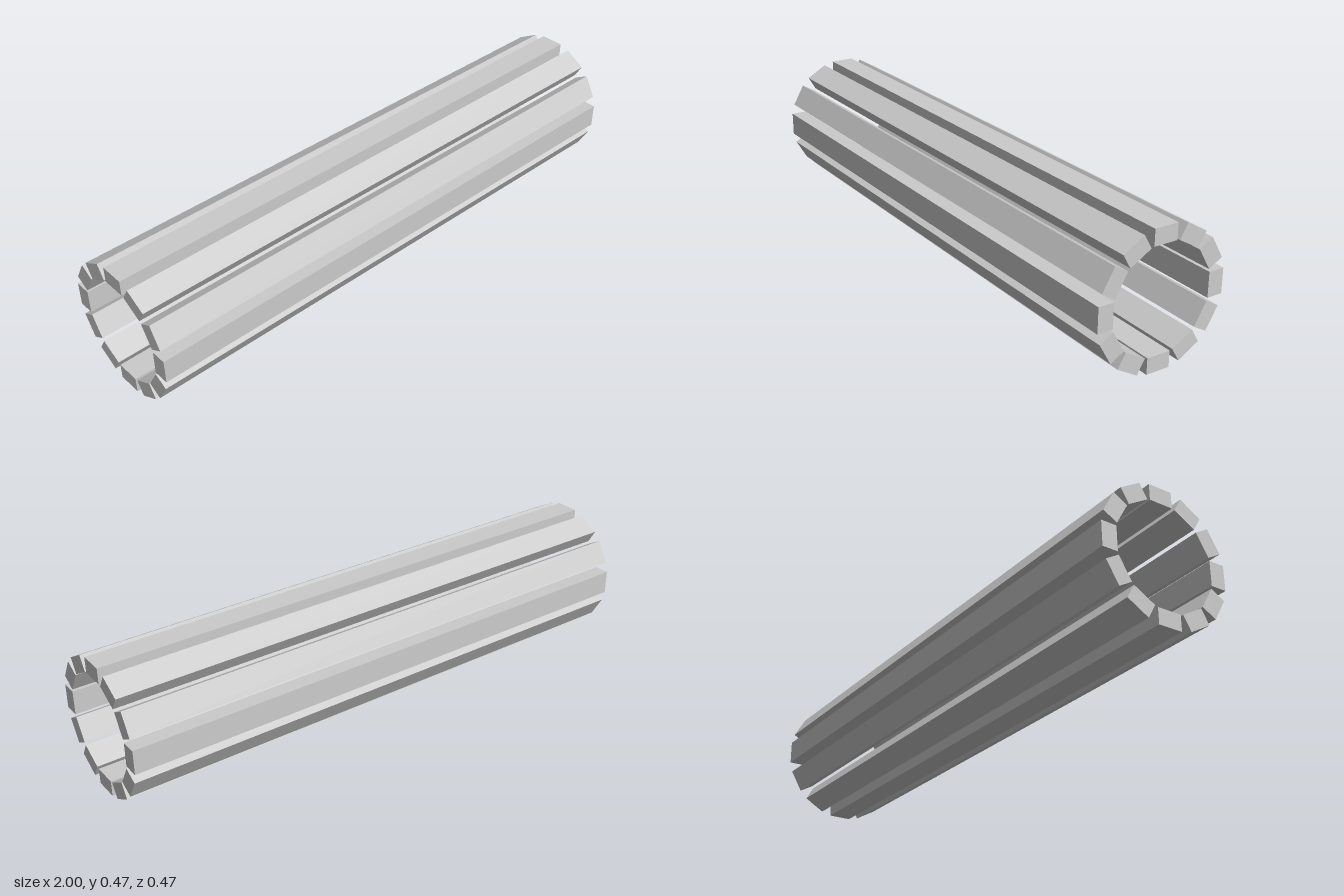
import * as THREE from 'three';

const COUNT = 12;         // slats around the ring
const OUTER = 0.233;      // radius to the outer slat faces
const THICKNESS = 0.055;
const WIDTH = 0.085;
const LENGTH = 2;

export function createModel() {
  const model = new THREE.Group();
  model.name = 'slattedTube';

  const material = new THREE.MeshStandardMaterial({ color: 0xcccccc, flatShading: true });

  // One straight slat, moved out to the ring radius
  const slatGeometry = new THREE.BoxGeometry(LENGTH, THICKNESS, WIDTH);
  slatGeometry.translate(0, OUTER - THICKNESS / 2, 0);

  // Slats spaced evenly about the long axis
  for (let i = 0; i < COUNT; i++) {
    const slat = new THREE.Mesh(slatGeometry, material);
    slat.name = `slat${i + 1}`;
    slat.position.y = OUTER;
    slat.rotation.x = (i / COUNT) * Math.PI * 2;
    model.add(slat);
  }
  return model;
}
